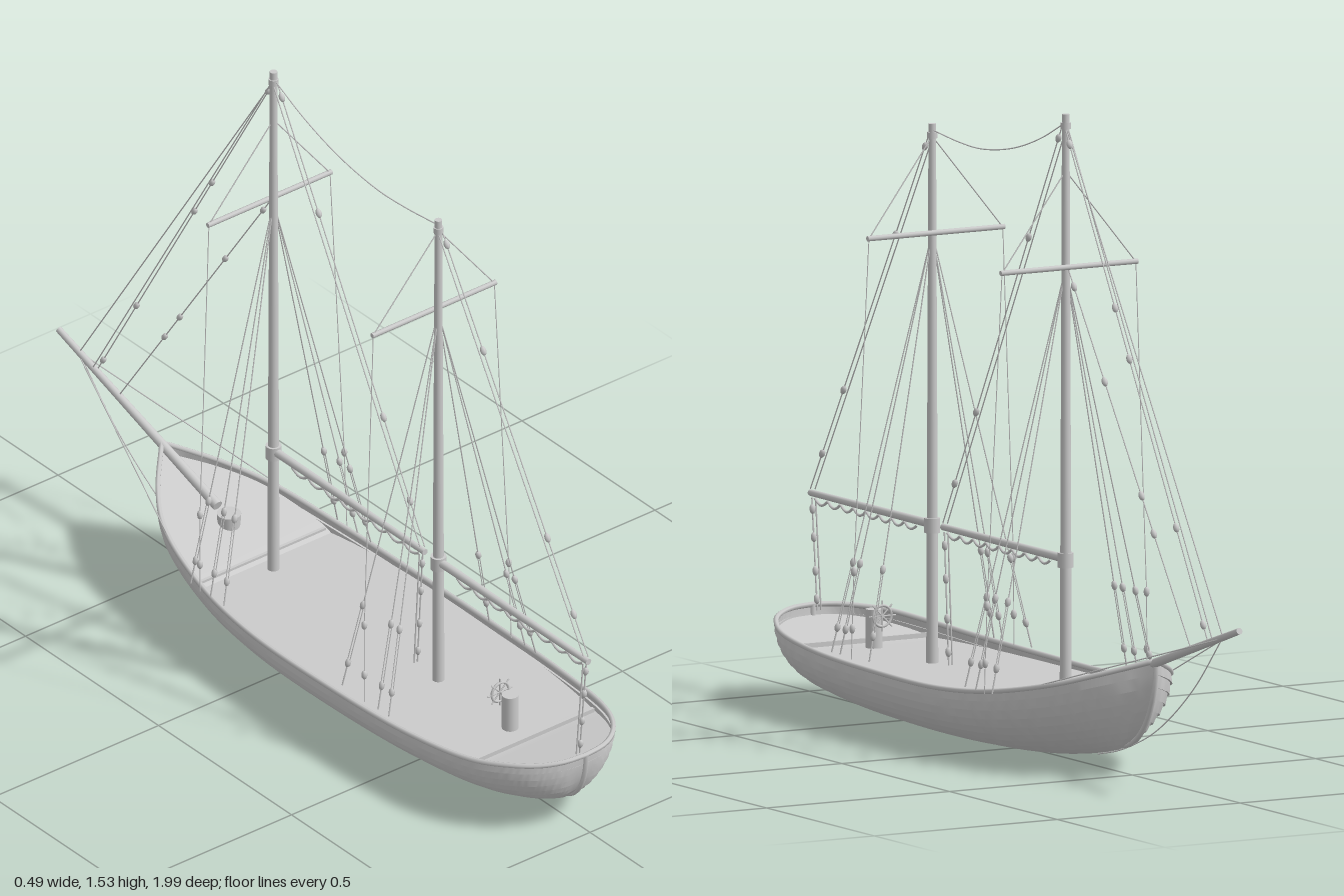
import * as THREE from 'three';
import { toCreasedNormals } from 'three/addons/utils/BufferGeometryUtils.js';

const V = (x, y, z) => new THREE.Vector3(x, y, z);
const mat = new THREE.MeshStandardMaterial({ color: 0xcccccc });
const thin = new THREE.MeshStandardMaterial({ color: 0xcccccc, side: THREE.DoubleSide });

// Half outline of the gunwale and the matching keel line, stern to bow
const sheer = new THREE.CatmullRomCurve3([
  V(0, .21, .985), V(.06, .208, .975), V(.11, .203, .945), V(.153, .197, .895), V(.195, .183, .8), V(.225, .168, .6),
  V(.237, .16, .3), V(.233, .16, 0), V(.211, .177, -.2), V(.16, .215, -.4), V(.1, .246, -.5), V(0, .288, -.61)]);
const keel = new THREE.CatmullRomCurve3([
  V(0, .066, .9), V(0, .064, .89), V(0, .058, .87), V(0, .05, .84), V(0, .036, .76), V(0, .02, .58),
  V(0, .008, .3), V(0, .009, 0), V(0, .017, -.18), V(0, .037, -.33), V(0, .052, -.4), V(0, .064, -.44)]);
const STATIONS = 88;

// Point on the planking: s runs stern to bow, v runs keel to gunwale, d pushes outward
function hullPoint(s, v, d = 0) {
  const S = sheer.getPoint(s), K = keel.getPoint(s), a = v * Math.PI / 2;
  const w = Math.max(0, S.x);
  const fine = 1 + .5 * THREE.MathUtils.smoothstep(s, .6, 1);
  d *= THREE.MathUtils.smoothstep(w, 0, .05);
  return V(w * Math.pow(Math.sin(a), fine) + d * Math.sin(a),
    K.y + (S.y - K.y) * (1 - Math.cos(a)) - d * Math.cos(a),
    K.z + (S.z - K.z) * Math.sin(a));
}

// Surface through equal rows of points; flip reverses its facing
function loft(rows, flip) {
  const n = rows[0].length, index = [];
  for (let j = 0; j < rows.length - 1; j++) for (let i = 0; i < n - 1; i++) {
    const a = j * n + i, b = a + 1, c = a + n, e = c + 1;
    if (flip) index.push(a, c, b, b, c, e); else index.push(a, b, c, b, e, c);
  }
  const g = new THREE.BufferGeometry().setFromPoints(rows.flat());
  g.setIndex(index);
  return toCreasedNormals(g, .45);
}

export function createModel() {
  const root = new THREE.Group();
  const add = (name, geo, parent = root, material = mat) => {
    const m = new THREE.Mesh(geo, material);
    m.name = name;
    parent.add(m);
    return m;
  };
  const group = name => {
    const g = new THREE.Group();
    g.name = name;
    root.add(g);
    return g;
  };
  // Tapered round spar between two points
  const spar = (name, a, b, r0, r1, parent, sides = 12) => {
    const m = add(name, new THREE.CylinderGeometry(r1, r0, a.distanceTo(b), sides), parent);
    m.position.lerpVectors(a, b, .5);
    m.quaternion.setFromUnitVectors(V(0, 1, 0), b.clone().sub(a).normalize());
    return m;
  };
  const block = new THREE.SphereGeometry(.0075, 8, 6).scale(1, 1.6, 1);
  // Taut rope carrying pulley blocks at the given fractions
  const rope = (name, a, b, parent, blocks = [], r = .0016) => {
    spar(name, a, b, r, r, parent, 5);
    for (const t of blocks) {
      const m = add('block', block, parent);
      m.position.lerpVectors(a, b, t);
      m.quaternion.setFromUnitVectors(V(0, 1, 0), b.clone().sub(a).normalize());
    }
  };
  const slack = (name, pts, parent, r = .0016) =>
    add(name, new THREE.TubeGeometry(new THREE.CatmullRomCurve3(pts), 40, r, 5), parent);
  const stationS = i => i / STATIONS;

  // Overlapping planks
  const hull = group('hull'), PLANKS = 11;
  for (const side of [1, -1]) {
    const rows = [];
    for (let p = 0; p < PLANKS; p++) for (const [v, d] of [[p, .006], [p + 1, 0]]) {
      const row = [];
      for (let i = 0; i <= STATIONS; i++) {
        const q = hullPoint(stationS(i), v / PLANKS, p ? d : 0);
        q.x *= side;
        row.push(q);
      }
      rows.push(row);
    }
    add(side > 0 ? 'leftPlanking' : 'rightPlanking', loft(rows, side < 0), hull, thin);
  }

  // Gunwale rail around the whole boat
  const rim = [];
  for (let i = 0; i <= STATIONS; i++) rim.push(sheer.getPoint(stationS(i)));
  const rimLoop = rim.concat(rim.slice(1, -1).reverse().map(p => V(-p.x, p.y, p.z)));
  add('gunwale', new THREE.TubeGeometry(new THREE.CatmullRomCurve3(rimLoop, true), 180, .0065, 6, true), hull);

  // Sternpost, keel and stem in one run
  const spine = [];
  for (let i = 10; i > 0; i--) spine.push(hullPoint(0, i / 10));
  for (let i = 0; i <= 20; i++) spine.push(keel.getPoint(i / 20));
  for (let i = 1; i <= 10; i++) spine.push(hullPoint(1, i / 10));
  add('keel', new THREE.TubeGeometry(new THREE.CatmullRomCurve3(spine), 90, .007, 6), hull);

  // Deck with rising ends
  const deckY = z => z > .77 ? .145 + (z - .77) * .19 : z < -.24 ? .156 + (-.24 - z) * .29 : .145;
  const deckRows = [1, -1].map(side => rim.map(p => V(side * Math.max(0, p.x - .003), deckY(p.z), p.z)));
  add('deck', loft(deckRows, false), hull, thin);
  for (const [z, w] of [[.77, .39], [-.24, .39]])
    add('deckBeam', new THREE.BoxGeometry(w, .014, .008), hull).position.set(0, .15, z);

  // Bowsprit and its stays
  const bow = group('bowsprit');
  spar('bowspritPole', V(0, .215, -.4), V(0, .41, -.997), .013, .008, bow);
  slack('bobstay', [V(0, .385, -.92), V(0, .24, -.78), V(0, .12, -.61), V(0, .055, -.45), V(0, .03, -.34)], bow);
  for (const s of [1, -1]) rope('bowspritShroud', V(0, .385, -.93), V(s * .185, .2, -.33), bow);

  // Two masts, each with a yard, boom, shrouds and tackle
  const masts = [
    { name: 'foreMast', z: -.19, top: 1.535, boomEnd: .38, yardZ: -.205, shrouds: [-.035, .04, .09] },
    { name: 'aftMast', z: .43, top: 1.43, boomEnd: .995, yardZ: .413, shrouds: [-.085, .05, .09] }];
  for (const { name, z, top, boomEnd, yardZ, shrouds } of masts) {
    const g = group(name);
    spar('mastPole', V(0, .14, z), V(0, top, z), .0145, .009, g, 16);
    spar('mastCollar', V(0, .455, z), V(0, .49, z), .019, .019, g, 16);
    spar('mastHead', V(0, top - .035, z), V(0, top - .02, z), .012, .012, g);

    // Boom with the lashing hanging beneath it
    spar('boom', V(0, .475, z + .01), V(0, .475, boomEnd), .0105, .008, g);
    const lash = [];
    for (let i = 0; i <= 32; i++)
      lash.push(V(0, .463 - .012 * Math.abs(Math.sin(i * Math.PI / 4)), THREE.MathUtils.lerp(z + .07, boomEnd - .02, i / 32)));
    add('boomLashing', new THREE.TubeGeometry(new THREE.CatmullRomCurve3(lash), 96, .0035, 5), g);

    // Doubled topping lift and boom sheet
    for (const s of [1, -1])
      rope('toppingLift', V(s * .004, top - .03, z + .006 + s * .004), V(s * .004, .485, boomEnd - .01 + s * .004), g,
        s > 0 ? [.03, .28, .72, .9] : []);
    const low = boomEnd > .9 ? V(0, .2, .955) : V(0, .15, .345);
    for (const s of [1, -1])
      rope('boomSheet', V(s * .005, .465, boomEnd - .015), low.clone().setX(s * .005), g, s > 0 ? [.1, .35, .65, .9] : [], .002);

    // Yard with its lifts and braces
    spar('yard', V(-.187, 1.172, yardZ), V(.187, 1.172, yardZ), .0065, .0065, g, 8);
    for (const s of [1, -1]) {
      rope('yardLift', V(s * .18, 1.175, yardZ), V(0, 1.4, z), g);
      rope('yardBrace', V(s * .183, 1.17, yardZ), V(s * .218, .38, yardZ + .01), g, [1], .0012);
      rope('yardBraceTail', V(s * .218, .38, yardZ + .01), V(s * .222, .17, yardZ + .015), g, [.65], .0012);

      // Shrouds with deadeyes and paired lanyards
      for (const dz of shrouds) {
        const foot = V(s * .222, .175, z + dz), head = V(0, 1.17, z);
        const eye = foot.clone().lerp(head, .215), lower = foot.clone().lerp(head, .06);
        rope('shroud', head, eye, g, [1]);
        for (const k of [-.004, .004])
          rope('lanyard', eye.clone().add(V(0, 0, k)), lower.clone().add(V(0, 0, k)), g, [], .0013);
        rope('chainPlate', lower, foot, g, [0], .002);
      }
    }
  }

  // Stays linking the masts and the bowsprit
  const stays = group('stays');
  slack('mastStay', [V(0, 1.415, .43), V(0, 1.402, .3), V(0, 1.4, .2), V(0, 1.42, .06), V(0, 1.46, -.07), V(0, 1.515, -.19)], stays);
  rope('outerStay', V(0, 1.5, -.195), V(0, .385, -.92), stays);
  for (const s of [1, -1])
    rope('middleStay', V(s * .004, 1.5, -.195), V(s * .004, .37, -.86 + s * .005), stays, s > 0 ? [.03, .35, .45, .78, .97] : []);
  rope('innerStay', V(0, 1.17, -.2), V(0, .34, -.77), stays, [.05, .3, .6, .7]);

  // Steering stand and wheel
  const helm = group('helm');
  spar('steeringStand', V(0, .14, .7), V(0, .237, .7), .02, .02, helm, 20);
  spar('wheelAxle', V(0, .225, .7), V(0, .225, .658), .004, .004, helm, 8);
  add('wheelRim', new THREE.TorusGeometry(.025, .0035, 6, 24), helm).position.set(0, .225, .662);
  for (let i = 0; i < 4; i++) {
    const a = i * Math.PI / 4, c = Math.cos(a) * .037, d = Math.sin(a) * .037;
    spar('wheelSpoke', V(-c, .225 - d, .662), V(c, .225 + d, .662), .002, .002, helm, 6);
  }

  // Capstan on the foredeck
  spar('capstan', V(0, .17, -.357), V(0, .216, -.357), .026, .029, group('foredeckGear'), 20);
  return root;
}
